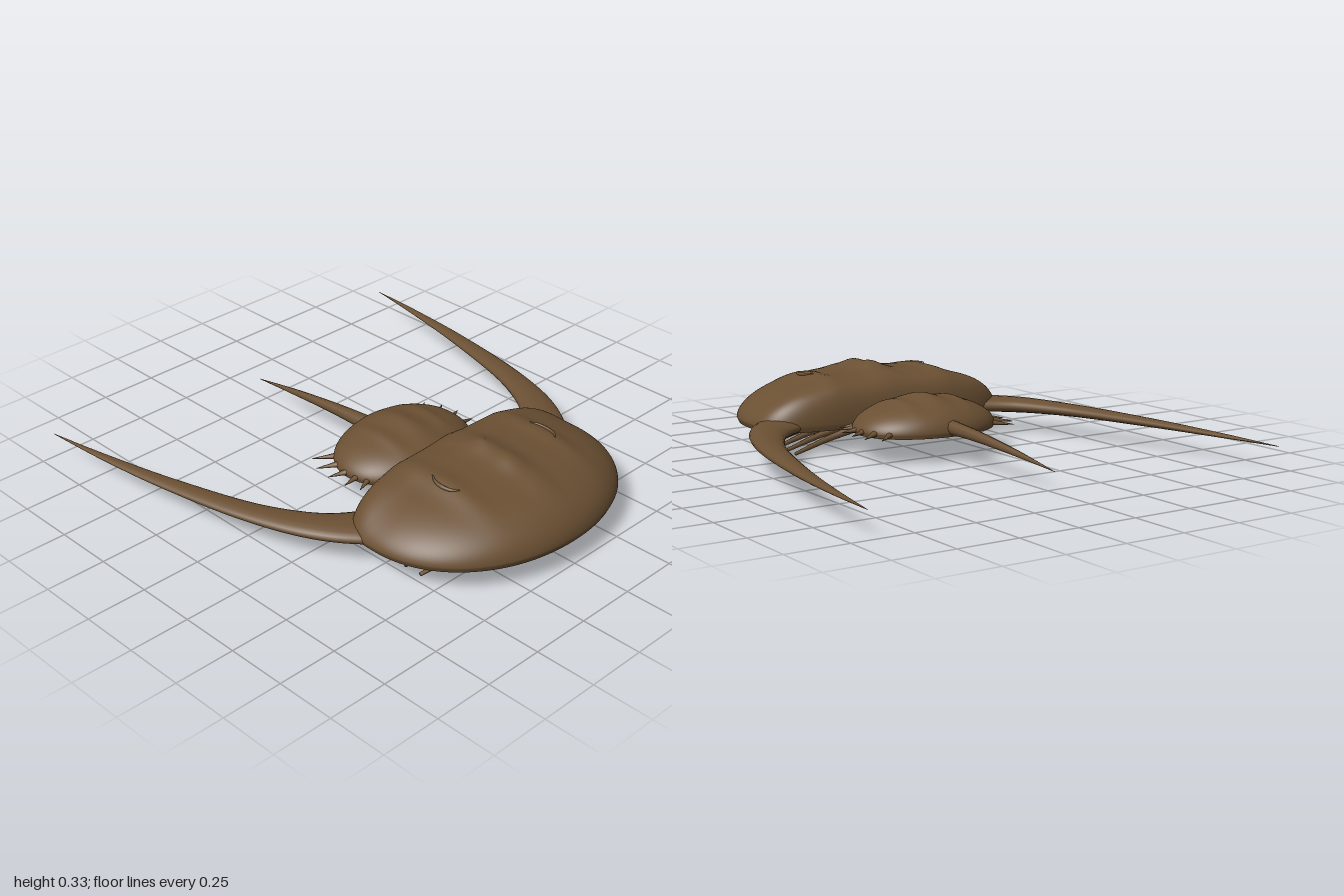
import * as THREE from 'three';

const shell = new THREE.MeshStandardMaterial({ color: 0x6b5033 });
shell.name = 'brown shell';

const bump = (v, mid, width) => Math.exp(-(((v - mid) / width) ** 2));

// Shape of each domed plate: superellipse outline with different front and back halves
const shieldSpec = {
  a: 0.585, zc: 0.52, front: 0.475, back: 0.245, nFront: 2.1, nBack: 3.5,
  base: 0.118, under: 0.1, height: 0.187, pFront: 0.9, pBack: 4,
  ridge: (x, z) => 0.03 * bump(x, 0, 0.06) * bump(z, 0.57, 0.24) * (1 + 0.15 * Math.sin(z * 40))
    + 0.02 * bump(Math.abs(x), 0.27, 0.05) * bump(z, 0.56, 0.2),
};
const abdomenSpec = {
  a: 0.31, zc: 0.09, front: 0.24, back: 0.23, nFront: 2.1, nBack: 2.1,
  base: 0.125, under: 0.11, height: 0.115, pFront: 0.6, pBack: 0.6,
  ridge: (x, z) => 0.016 * bump(x, 0, 0.05) * bump(z, 0.09, 0.14)
    + 0.008 * bump(Math.abs(x), 0.13, 0.03) * bump(z, 0.09, 0.12),
};

// Height of a plate's upper surface at (x, z)
function heightAt(k, x, z) {
  const dz = z - k.zc, b = dz > 0 ? k.front : k.back, n = dz > 0 ? k.nFront : k.nBack;
  const s = Math.min(1, (Math.abs(x / k.a) ** n + Math.abs(dz / b) ** n) ** (1 / n));
  const t = Math.min(1, Math.abs(dz / b));
  const p = 2.2 + (dz > 0 ? k.pFront : k.pBack) * t * t;
  const rise = Math.max(0, 1 - s ** p) ** 0.58;
  return k.base + k.height * rise + k.ridge(x, z) * Math.min(1, rise * 1.5);
}

// Join rings of equal length into a surface; flip reverses the facing
function loft(rings, flip = false) {
  const n = rings[0].length, index = [];
  for (let r = 0; r < rings.length - 1; r++) {
    for (let i = 0; i < n; i++) {
      const j = (i + 1) % n, a = r * n + i, b = r * n + j, c = a + n, d = b + n;
      if (flip) index.push(a, b, c, c, b, d);
      else index.push(a, c, b, c, d, b);
    }
  }
  const geo = new THREE.BufferGeometry().setFromPoints(rings.flat());
  geo.setIndex(index);
  geo.computeVertexNormals();
  return geo;
}

// Ring on a plate's outline, scaled by s, with y given by a rule
function plateRing(k, s, yRule, count = 112) {
  return Array.from({ length: count }, (_, i) => {
    const ang = (i / count) * Math.PI * 2, c = Math.cos(ang), d = Math.sin(ang);
    const b = d > 0 ? k.front : k.back, n = d > 0 ? k.nFront : k.nBack;
    const x = k.a * s * Math.sign(c) * Math.abs(c) ** (2 / n);
    const z = k.zc + b * s * Math.sign(d) * Math.abs(d) ** (2 / n);
    return new THREE.Vector3(x, yRule(x, z), z);
  });
}

function addMesh(parent, name, geo) {
  const mesh = new THREE.Mesh(geo, shell);
  mesh.name = name;
  parent.add(mesh);
  return mesh;
}

// Domed top, rounded lip and flat underside
function plate(parent, name, k) {
  const group = new THREE.Group();
  group.name = name;
  parent.add(group);
  const top = [plateRing(k, 0.985, () => k.under)];
  for (let i = 0; i <= 36; i++) {
    const s = Math.max(0.0005, Math.cos((i / 36) * Math.PI / 2));
    top.push(plateRing(k, s, (x, z) => heightAt(k, x, z)));
  }
  addMesh(group, name + 'Dome', loft(top));
  const under = [0.985, 0.5, 0.0005].map((s) => plateRing(k, s, () => k.under));
  addMesh(group, name + 'Underside', loft(under, true));
}

// Tapering elliptical sweep through points of [x, y, z, half width, half height]
function taper(parent, name, pts, segs = 24, sides = 12) {
  const curve = new THREE.CatmullRomCurve3(pts.map((p) => new THREE.Vector3(...p.slice(0, 3))));
  const up = new THREE.Vector3(0, 1, 0), rings = [];
  for (let i = 0; i <= segs; i++) {
    const t = i / segs, f = t * (pts.length - 1);
    const q = Math.min(pts.length - 2, Math.floor(f));
    const mix = (m) => THREE.MathUtils.lerp(pts[q][m], pts[q + 1][m], f - q);
    const w = mix(3), h = mix(4), centre = curve.getPoint(t), dir = curve.getTangent(t);
    const side = dir.clone().cross(up).normalize(), top = side.clone().cross(dir);
    rings.push(Array.from({ length: sides }, (_, j) => {
      const a = (j / sides) * Math.PI * 2;
      return centre.clone().addScaledVector(side, w * Math.cos(a)).addScaledVector(top, h * Math.sin(a));
    }));
    if (i === segs) rings.push(rings[i].map(() => centre.clone()));
  }
  return addMesh(parent, name, loft(rings));
}

export function createModel() {
  const model = new THREE.Group();
  model.name = 'armouredSeaCreature';
  plate(model, 'headShield', shieldSpec);
  plate(model, 'abdomen', abdomenSpec);

  // Tail spike
  taper(model, 'tailSpike', [
    [0, 0.145, -0.08, 0.037, 0.032], [0, 0.135, -0.3, 0.026, 0.023],
    [0, 0.113, -0.55, 0.015, 0.013], [0, 0.085, -0.79, 0.001, 0.001],
  ], 18, 8);

  for (const m of [1, -1]) {
    const side = m > 0 ? 'left' : 'right';

    // Long swept horn from the shield's rear corner
    taper(model, side + 'Horn', [
      [m * 0.42, 0.118, 0.45, 0.1, 0.03], [m * 0.52, 0.118, 0.385, 0.1, 0.034],
      [m * 0.625, 0.118, 0.27, 0.078, 0.032], [m * 0.735, 0.116, 0.04, 0.056, 0.025],
      [m * 0.84, 0.113, -0.37, 0.035, 0.017], [m * 0.9, 0.111, -0.72, 0.017, 0.009],
      [m * 0.935, 0.11, -1, 0.001, 0.001],
    ], 42, 16);

    // Crescent eye ridge
    const eye = [[0.275, 0.52], [0.293, 0.55], [0.298, 0.59], [0.29, 0.63], [0.27, 0.655]];
    taper(model, side + 'Eye', eye.map(([x, z], i) => {
      const r = 0.002 + 0.006 * Math.sin((i / 4) * Math.PI);
      return [m * x, heightAt(shieldSpec, x, z) + 0.001, z, r, r];
    }), 16, 8);

    // Five walking legs
    for (let i = 0; i < 5; i++) {
      const z = 0.655 - i * 0.08;
      taper(model, side + 'Leg' + (i + 1), [
        [m * 0.1, 0.105, z - 0.005, 0.014, 0.014], [m * 0.2, 0.077, z + 0.018, 0.016, 0.016],
        [m * 0.29, 0.053, z + 0.028, 0.015, 0.014], [m * 0.38, 0.032, z + 0.015, 0.012, 0.011],
        [m * 0.47, 0.012, z - 0.005, 0.008, 0.007],
      ], 16, 8);
    }

    // Spines along the abdomen's edge: base x, base z, tip x, tip z
    [[0.245, -0.04, 0.32, -0.1], [0.285, 0.01, 0.36, -0.035], [0.3, 0.075, 0.37, 0.045],
      [0.295, 0.13, 0.365, 0.135], [0.275, 0.175, 0.345, 0.2], [0.245, 0.215, 0.31, 0.245],
    ].forEach(([bx, bz, tx, tz], i) => {
      taper(model, side + 'EdgeSpine' + (i + 1), [
        [m * bx, 0.127, bz, 0.018, 0.014], [m * tx, 0.12, tz, 0.001, 0.001],
      ], 4, 8);
    });
  }
  return model;
}
